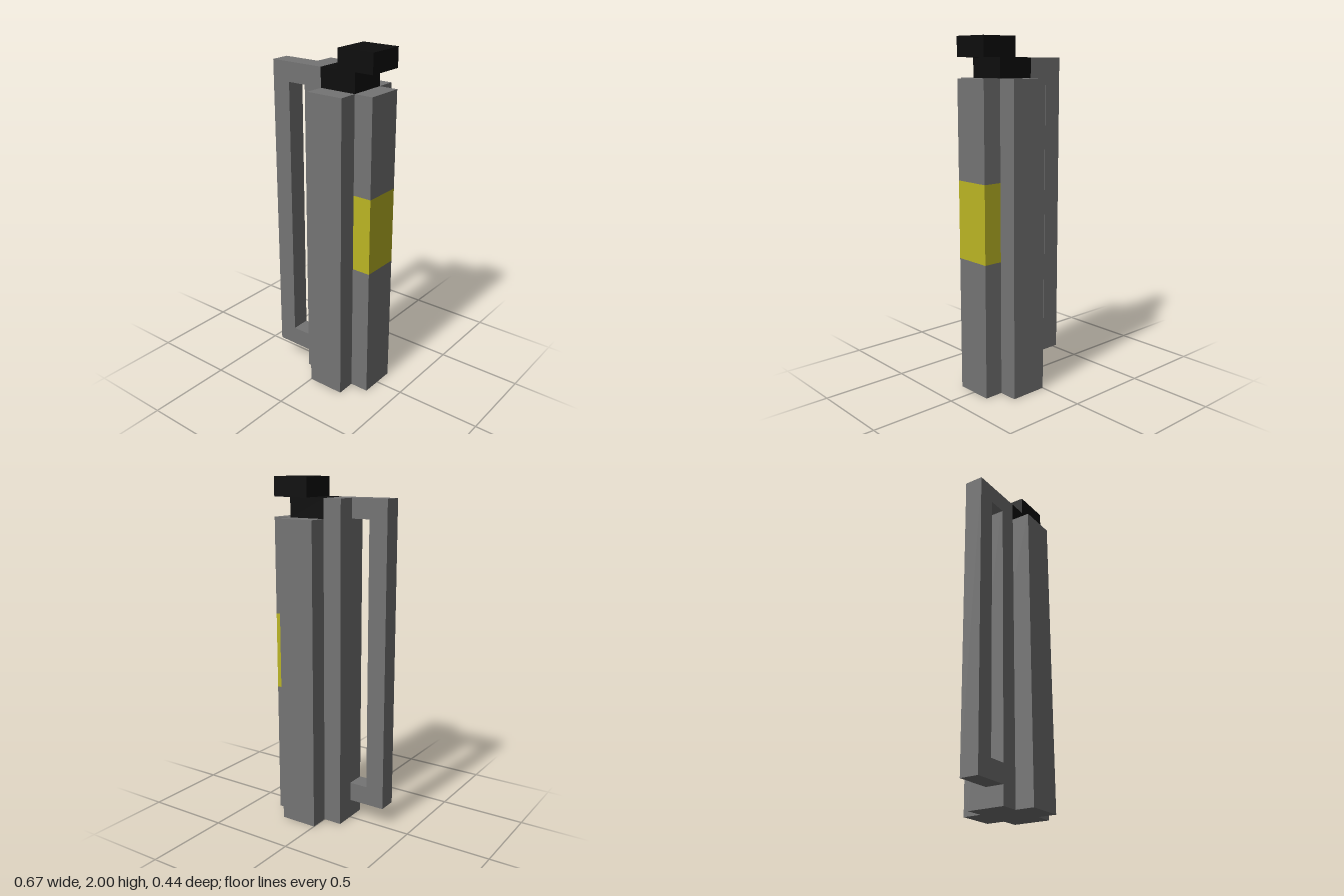
import * as THREE from 'three';

const U = 1 / 9; // one block

export function createModel() {
  const model = new THREE.Group();
  const mat = (name, color) => {
    const m = new THREE.MeshStandardMaterial({ color });
    m.name = name;
    return m;
  };
  const grey = mat('grey', 0x747474);
  const black = mat('black', 0x0d0d0d);
  const yellow = mat('yellow', 0xbbb524);

  // Box from its low and high corners, measured in blocks
  const block = (name, material, [x0, y0, z0], [x1, y1, z1]) => {
    const size = [x1 - x0, y1 - y0, z1 - z0].map((s) => s * U);
    const mesh = new THREE.Mesh(new THREE.BoxGeometry(...size), material);
    mesh.position.set(x0 + x1, y0 + y1, z0 + z1).multiplyScalar(U / 2);
    mesh.name = name;
    model.add(mesh);
  };

  // Cross-shaped body
  block('bodyCore', grey, [0, 0, -2], [2, 16, 2]);
  block('handleSideRib', grey, [-1, 0, -1], [0, 17, 1]);
  block('lowerFrontRib', grey, [2, 0, -1], [3, 7, 1]);
  block('label', yellow, [2, 7, -1], [3, 11, 1]);
  block('upperFrontRib', grey, [2, 11, -1], [3, 16, 1]);

  // Offset handle
  block('handleGrip', grey, [-3, 1, 0], [-2, 17, 1]);
  block('handleTop', grey, [-2, 16, 0], [-1, 17, 1]);
  block('handleBottom', grey, [-2, 1, 0], [-1, 2, 1]);

  // Stepped nozzle
  block('nozzleBase', black, [0, 16, -1], [2, 17, 1]);
  block('nozzleTip', black, [1, 17, -1], [3, 18, 1]);

  return model;
}
